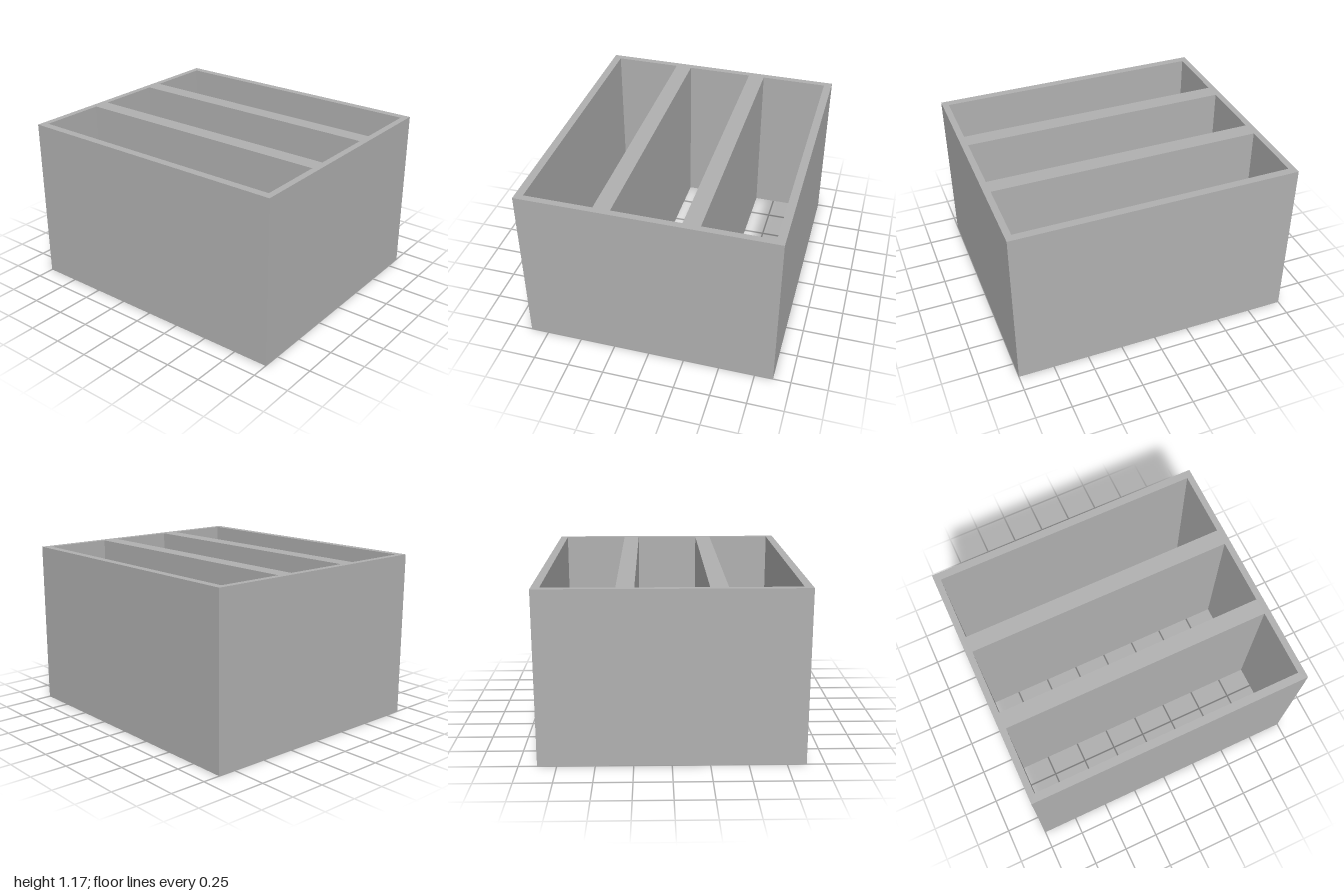
import * as THREE from 'three';

const WIDTH = 1.755, DEPTH = 2, HEIGHT = 1.175;
const SLOT_WIDTH = 0.47, SLOT_DEPTH = 1.91, SLOT_SPACING = 0.587;

// Traces a centred rectangle onto a shape or path
function rectangle(path, cx, w, d) {
  path.moveTo(cx - w / 2, -d / 2);
  path.lineTo(cx + w / 2, -d / 2);
  path.lineTo(cx + w / 2, d / 2);
  path.lineTo(cx - w / 2, d / 2);
  path.closePath();
  return path;
}

export function createModel() {
  const group = new THREE.Group();
  group.name = 'slottedBlock';

  const grey = new THREE.MeshStandardMaterial({ color: 0xb0b0b0 });
  grey.name = 'grey';

  // Outer walls and two dividers, with three slots open at top and bottom
  const plan = rectangle(new THREE.Shape(), 0, WIDTH, DEPTH);
  for (const i of [-1, 0, 1]) {
    plan.holes.push(rectangle(new THREE.Path(), i * SLOT_SPACING, SLOT_WIDTH, SLOT_DEPTH));
  }
  const geometry = new THREE.ExtrudeGeometry(plan, { depth: HEIGHT, bevelEnabled: false });
  geometry.rotateX(-Math.PI / 2);

  const block = new THREE.Mesh(geometry, grey);
  block.name = 'wallsAndDividers';
  group.add(block);
  return group;
}
